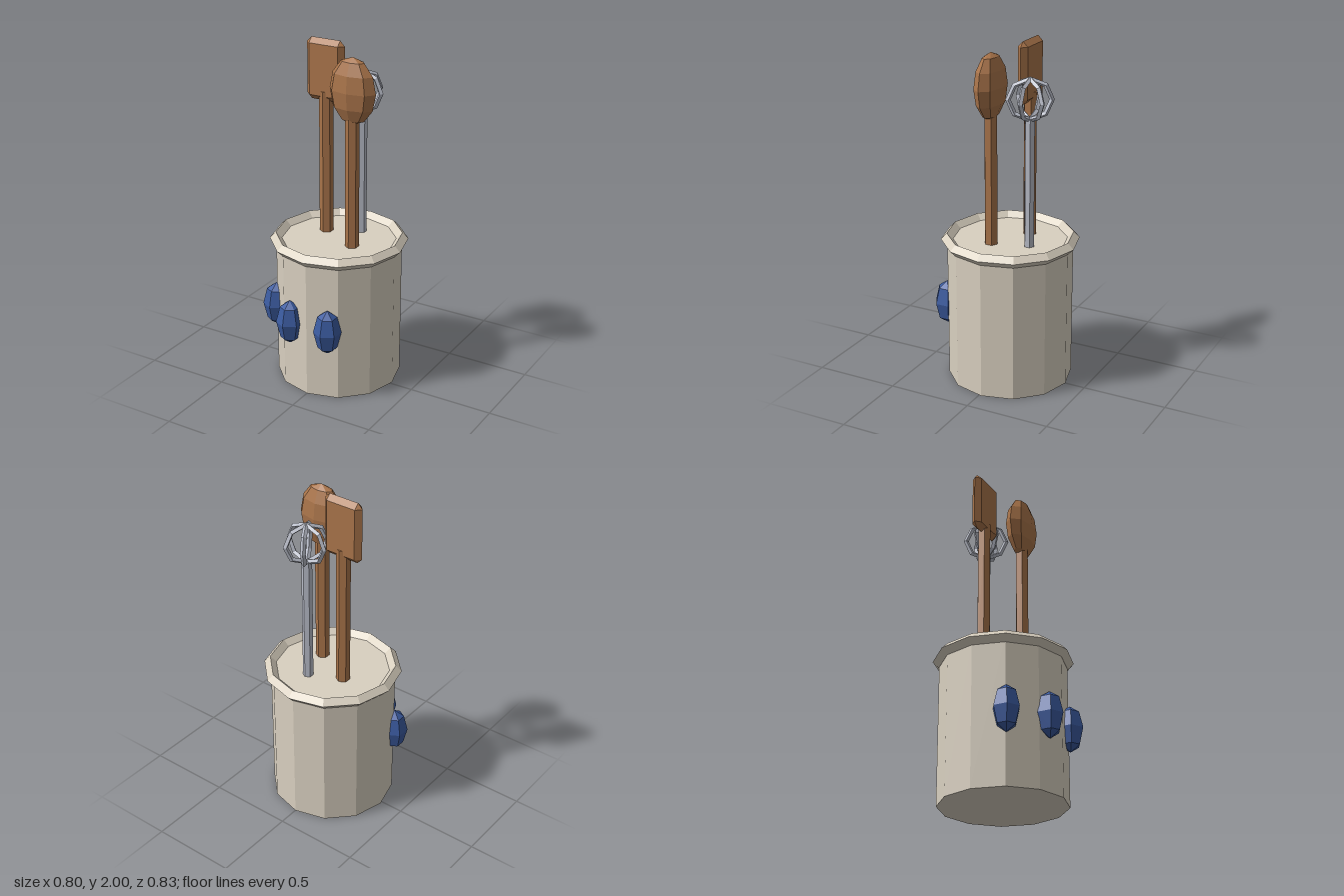
import * as THREE from 'three';
import { ConvexGeometry } from 'three/addons/geometries/ConvexGeometry.js';

const material = (name, color) => {
  const m = new THREE.MeshStandardMaterial({ color, flatShading: true });
  m.name = name;
  return m;
};

export function createModel() {
  const model = new THREE.Group();
  model.name = 'utensilCrock';

  const stoneware = material('stoneware', 0xd9d0c0);
  const wood = material('wood', 0xa9744a);
  const steel = material('steel', 0xb8bcc8);
  const blue = material('blueGlaze', 0x3b5ba0);

  const add = (name, geometry, mat, x, y, z, parent = model) => {
    const mesh = new THREE.Mesh(geometry, mat);
    mesh.name = name;
    mesh.position.set(x, y, z);
    parent.add(mesh);
    return mesh;
  };

  // Six-sided handle standing in the crock
  const addHandle = (name, radius, top, mat, x, z) => {
    const bottom = 0.8;
    add(name, new THREE.CylinderGeometry(radius, radius, top - bottom, 6), mat, x, (top + bottom) / 2, z);
  };

  // Crock body and diamond-section rim
  const crockZ = -0.015;
  add('crockBody', new THREE.CylinderGeometry(0.363, 0.363, 0.85, 12), stoneware, 0, 0.425, crockZ);
  add('crockRim', new THREE.TorusGeometry(0.365, 0.035, 4, 12).rotateX(Math.PI / 2), stoneware, 0, 0.85, crockZ);

  // Blue beads on the crock wall
  const bead = new THREE.SphereGeometry(0.08, 6, 4).rotateY(Math.PI / 2).scale(1, 0.135 / 0.08, 1);
  for (const [x, z] of [[-0.315, 0.172], [-0.12, 0.332], [0.13, 0.332]]) {
    add('bead', bead, blue, x, 0.43, z);
  }

  // Spoon
  addHandle('spoonHandle', 0.04, 1.62, wood, 0.12, 0.045);
  add('spoonHead', new THREE.SphereGeometry(1, 8, 6).scale(0.145, 0.19, 0.0725), wood, 0.12, 1.77, 0.044);

  // Spatula: flat blade with bevelled edges
  addHandle('spatulaHandle', 0.04, 1.7, wood, -0.122, -0.077);
  const bevel = 0.03;
  const bladePoints = [];
  for (const sx of [-1, 1]) {
    for (const sy of [-1, 1]) {
      const x = sx * (0.122 - bevel);
      const y = sy * (0.179 - bevel);
      bladePoints.push(
        new THREE.Vector3(x + sx * bevel, y, 0),
        new THREE.Vector3(x, y + sy * bevel, 0),
        new THREE.Vector3(x, y, bevel),
        new THREE.Vector3(x, y, -bevel),
      );
    }
  }
  add('spatulaBlade', new ConvexGeometry(bladePoints), wood, -0.122, 1.821, -0.076);

  // Whisk: three crossed wire loops
  addHandle('whiskHandle', 0.03, 1.6, steel, 0.06, -0.166);
  const loop = new THREE.TorusGeometry(0.12, 0.015, 4, 8).scale(1, 0.95, 1);
  for (let i = 0; i < 3; i++) {
    add('whiskLoop', loop, steel, 0.06, 1.707, -0.166).rotation.y = (i * Math.PI) / 3;
  }

  return model;
}
